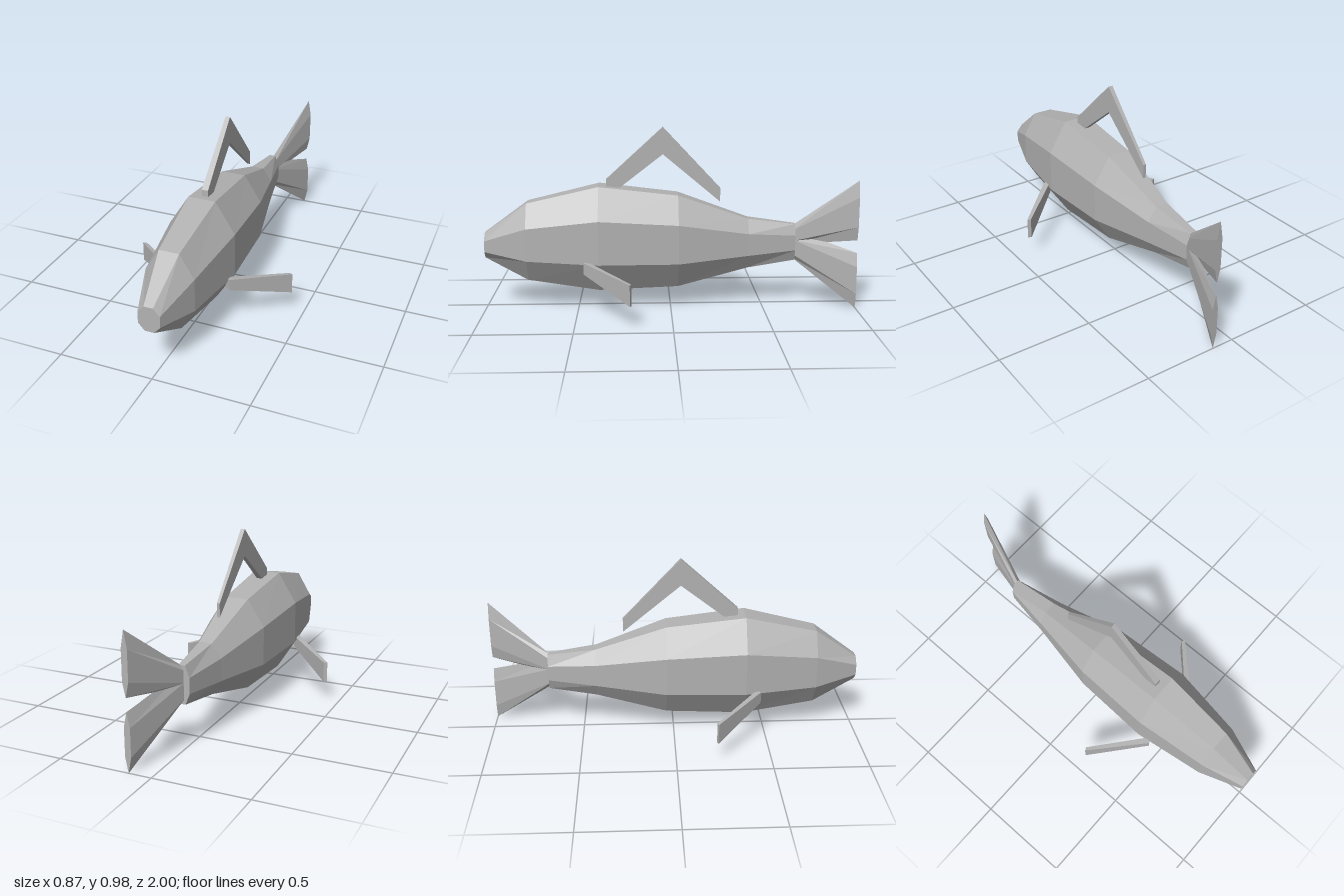
import * as THREE from 'three';

const grey = new THREE.MeshStandardMaterial({ color: 0xb2b2b2, flatShading: true });
grey.name = 'grey';

// Skins a row of rings (front to back, each counter-clockwise seen from +z) and caps both ends
function loft(rings) {
  const pos = [];
  const n = rings[0].length;
  const tri = (a, b, c) => pos.push(...a, ...b, ...c);
  for (let r = 0; r < rings.length - 1; r++) {
    const a = rings[r], b = rings[r + 1];
    for (let i = 0; i < n; i++) {
      const j = (i + 1) % n;
      tri(a[i], b[i], b[j]);
      tri(a[i], b[j], a[j]);
    }
  }
  const first = rings[0], last = rings[rings.length - 1];
  for (let i = 1; i < n - 1; i++) {
    tri(first[0], first[i], first[i + 1]);
    tri(last[0], last[i + 1], last[i]);
  }
  const geo = new THREE.BufferGeometry();
  geo.setAttribute('position', new THREE.Float32BufferAttribute(pos, 3));
  geo.computeVertexNormals();
  return geo;
}

// Four-sided ring; skew shifts the +x side forward in z
const rectRing = (x, z, half, bottom, top, skew = 0) => [
  [x - half, bottom, z - skew], [x + half, bottom, z + skew],
  [x + half, top, z + skew], [x - half, top, z - skew],
];

// Six-sided ring with pointed top and bottom
const hexRing = (x, z, half, y0, y1, y2, y3) => [
  [x, y0, z], [x + half, y1, z], [x + half, y2, z],
  [x, y3, z], [x - half, y2, z], [x - half, y1, z],
];

// Eight-sided body ring
const bodyRing = ([z, bottom, sideLow, sideHigh, top, halfSide, halfTop]) => [
  [-halfTop, bottom, z], [halfTop, bottom, z],
  [halfSide, sideLow, z], [halfSide, sideHigh, z],
  [halfTop, top, z], [-halfTop, top, z],
  [-halfSide, sideHigh, z], [-halfSide, sideLow, z],
];

export function createModel() {
  const model = new THREE.Group();
  model.name = 'fish';
  const add = (name, rings) => {
    const mesh = new THREE.Mesh(loft(rings), grey);
    mesh.name = name;
    model.add(mesh);
  };

  // Body: z, bottom, lower side, upper side, top, half width, half width of top
  add('body', [
    [1.0, 0.28, 0.317, 0.376, 0.415, 0.057, 0.024],
    [0.77, 0.16, 0.28, 0.455, 0.58, 0.128, 0.053],
    [0.385, 0.105, 0.268, 0.503, 0.67, 0.178, 0.073],
    [-0.04, 0.12, 0.265, 0.475, 0.62, 0.158, 0.065],
    [-0.42, 0.213, 0.29, 0.41, 0.485, 0.083, 0.035],
    [-0.68, 0.25, 0.308, 0.39, 0.45, 0.04, 0.017],
  ].map(bodyRing));

  // Back fin: a bent bar thinning towards the rear
  add('dorsalFin', [
    rectRing(0, 0.345, 0.017, 0.6, 0.7),
    rectRing(0, 0.04, 0.012, 0.835, 0.98),
    rectRing(0, -0.27, 0.008, 0.575, 0.65),
  ]);

  // Side fins swept out and back
  const fin = [
    rectRing(0.166, 0.455, 0.014, 0.222, 0.283, 0.009),
    rectRing(0.425, 0.214, 0.009, 0.12, 0.232, 0.004),
  ];
  add('leftFin', fin);
  add('rightFin', fin.map(ring => ring.map(([x, y, z]) => [-x, y, z]).reverse()));

  // Forked tail, swung towards the left
  add('upperTail', [
    hexRing(0.004, -0.665, 0.018, 0.335, 0.355, 0.415, 0.44),
    hexRing(0.119, -1, 0.016, 0.38, 0.455, 0.615, 0.705),
  ]);
  add('lowerTail', [
    hexRing(0.004, -0.665, 0.018, 0.262, 0.285, 0.365, 0.42),
    hexRing(0.119, -1, 0.016, 0.005, 0.085, 0.235, 0.31),
  ]);

  return model;
}
